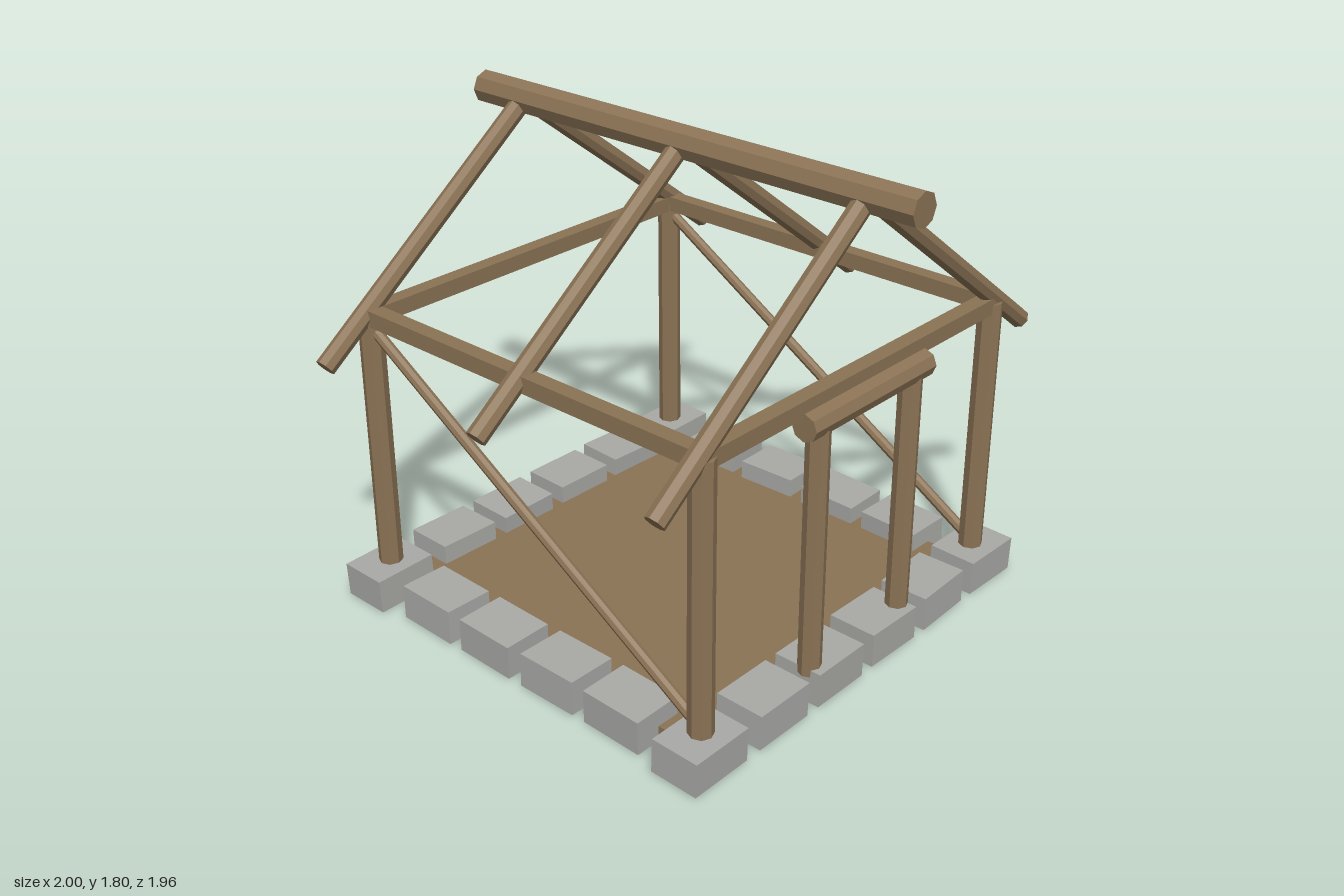
import * as THREE from 'three';

const wood = new THREE.MeshStandardMaterial({ color: 0x8b7355, flatShading: true });
wood.name = 'wood';
const earth = new THREE.MeshStandardMaterial({ color: 0x8b7355 });
earth.name = 'packed earth';
const stone = new THREE.MeshStandardMaterial({ color: 0xa9a9a6, flatShading: true });
stone.name = 'stone';

// Small seeded generator giving values from -1 to 1
function makeJitter(seed) {
  return () => {
    seed = (seed * 16807) % 2147483647;
    return (seed / 2147483647) * 2 - 1;
  };
}

function add(group, name, geometry, material) {
  const mesh = new THREE.Mesh(geometry, material);
  mesh.name = name;
  group.add(mesh);
  return mesh;
}

// Eight-sided log between two points
function log(group, name, from, to, radius) {
  const a = new THREE.Vector3(...from);
  const b = new THREE.Vector3(...to);
  const dir = b.clone().sub(a);
  const mesh = add(group, name, new THREE.CylinderGeometry(radius, radius, dir.length(), 8), wood);
  mesh.position.copy(a).add(b).multiplyScalar(0.5);
  mesh.quaternion.setFromUnitVectors(new THREE.Vector3(0, 1, 0), dir.normalize());
  return mesh;
}

// Squared timber centred on a point
function timber(group, name, size, pos) {
  add(group, name, new THREE.BoxGeometry(...size), wood).position.set(...pos);
}

export function createModel() {
  const model = new THREE.Group();
  model.name = 'timberFrameHut';
  const half = 0.77;

  // Floor slab
  add(model, 'floor', new THREE.BoxGeometry(2 * half, 0.06, 2 * half), earth).position.y = 0.035;

  // Foundation stones: roughly cut blocks around the edge
  const stones = new THREE.Group();
  stones.name = 'foundationStones';
  model.add(stones);
  const jitter = makeJitter(71);
  const block = (x, z, sx, sz) => {
    const geo = new THREE.BoxGeometry(sx, 0.132, sz);
    const p = geo.attributes.position;
    // Lean the top of each block a little
    const dx = jitter() * 0.004, dz = jitter() * 0.004;
    for (let i = 0; i < p.count; i++) {
      if (p.getY(i) > 0) p.setXYZ(i, p.getX(i) + dx, p.getY(i), p.getZ(i) + dz);
    }
    geo.computeVertexNormals();
    const mesh = add(stones, 'foundationStone', geo, stone);
    mesh.position.set(x, 0.071, z);
    mesh.rotation.set(jitter() * 0.02, jitter() * 0.035, jitter() * 0.02);
  };
  const rowX = [-0.775, -0.46, -0.155, 0.155, 0.46, 0.775];
  for (const s of [-1, 1]) {
    for (const x of rowX) block(x, s * half, 0.25, 0.19);
    for (const z of rowX.slice(1, 5)) block(s * half, z, 0.19, 0.25);
  }

  // Corner posts, wall plates, tie beams and diagonal braces
  for (const s of [-1, 1]) {
    for (const z of [-half, half]) {
      log(model, 'cornerPost', [s * half, 0.11, z], [s * half, 1.135, z], 0.045);
    }
    timber(model, 'wallPlate', [0.06, 0.06, 2 * half], [s * half, 1.133, 0]);
    timber(model, 'tieBeam', [2 * half, 0.06, 0.06], [0, 1.13, s * half]);
    log(model, 'brace', [s * half, 0.155, half], [s * half, 1.09, -half], 0.021);
  }

  // Door frame
  for (const s of [-1, 1]) {
    log(model, 'doorPost', [s * 0.25, 0.11, 0.8], [s * 0.25, 1.04, 0.8], 0.042);
  }
  log(model, 'doorLintel', [-0.325, 1.065, 0.8], [0.325, 1.065, 0.8], 0.05);

  // Rafters
  for (const z of [-half, 0, half]) {
    for (const s of [-1, 1]) {
      log(model, 'rafter', [0, 1.74, z], [s * 0.977, 1.0, z], 0.037);
    }
  }

  // Ridge pole
  log(model, 'ridgePole', [0, 1.74, -0.978], [0, 1.74, 0.978], 0.062);

  return model;
}
